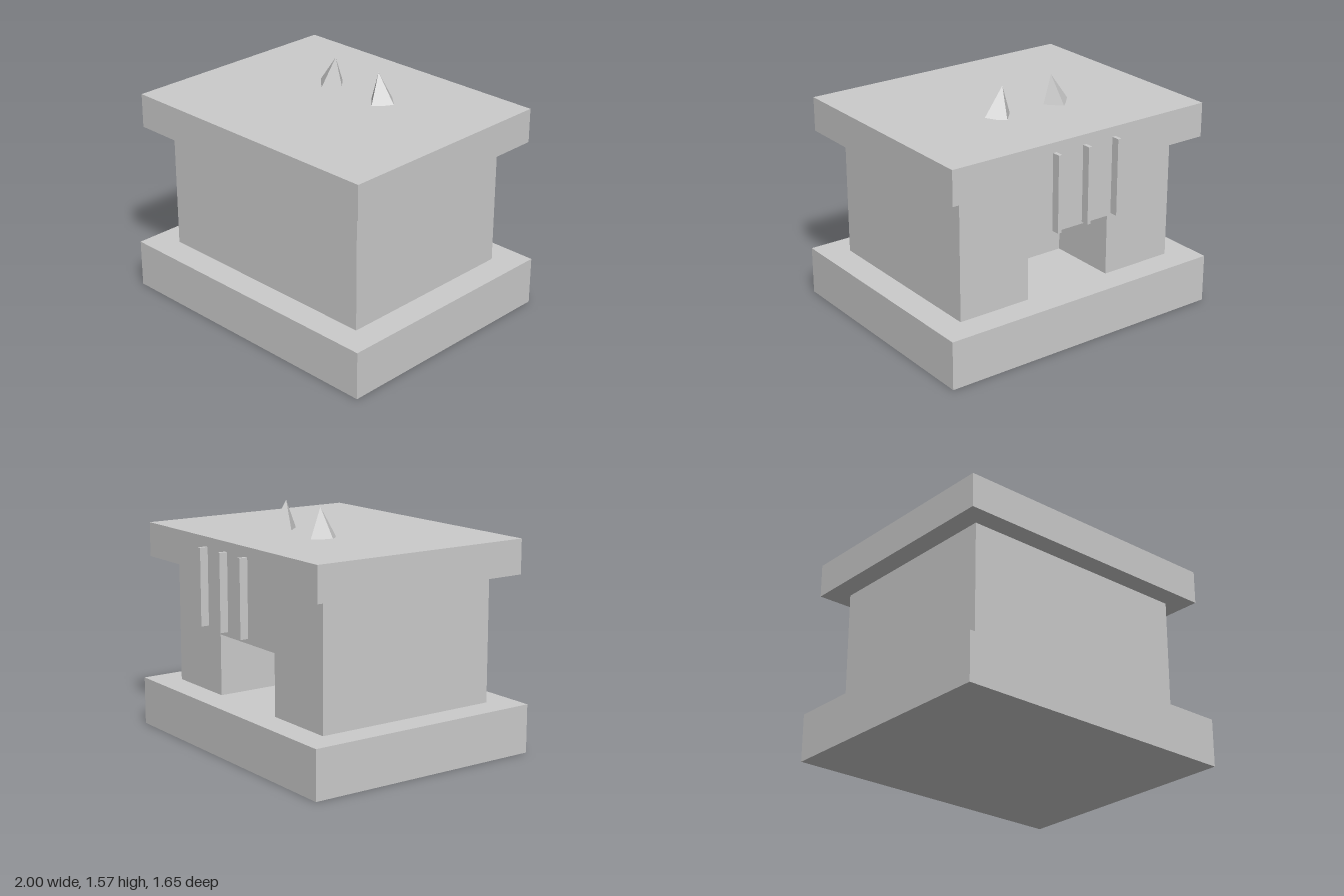
import * as THREE from 'three';

const material = new THREE.MeshStandardMaterial({ color: 0xcccccc, flatShading: true });

function addMesh(parent, name, geometry) {
  const mesh = new THREE.Mesh(geometry, material);
  mesh.name = name;
  parent.add(mesh);
  return mesh;
}

// Box given by its minimum and maximum corners
function addBox(parent, name, [x0, y0, z0], [x1, y1, z1]) {
  const mesh = addMesh(parent, name, new THREE.BoxGeometry(x1 - x0, y1 - y0, z1 - z0));
  mesh.position.set((x0 + x1) / 2, (y0 + y1) / 2, (z0 + z1) / 2);
  return mesh;
}

export function createModel() {
  const model = new THREE.Group();
  model.name = 'building';

  const baseTop = 0.318, wallTop = 1.15, roofTop = 1.376;
  const wallX = 0.816, wallBack = -0.626, wallFront = 0.646;

  // Plinth and roof slab
  addBox(model, 'base', [-1, 0, -0.807], [1, baseTop, 0.827]);
  addBox(model, 'roof', [-0.955, wallTop, -0.763], [0.955, roofTop, 0.783]);

  // Walls: solid front block, and a back block with a doorway recess
  const doorX = 0.31, doorTop = 0.72, recessDepth = 0.475;
  const recessEnd = wallBack + recessDepth;
  const walls = new THREE.Group();
  walls.name = 'walls';
  model.add(walls);
  addBox(walls, 'frontWall', [-wallX, baseTop, recessEnd], [wallX, wallTop, wallFront]);
  const outline = new THREE.Shape([
    [-wallX, baseTop], [-doorX, baseTop], [-doorX, doorTop], [doorX, doorTop],
    [doorX, baseTop], [wallX, baseTop], [wallX, wallTop], [-wallX, wallTop],
  ].map(([x, y]) => new THREE.Vector2(x, y)));
  const doorway = addMesh(walls, 'doorwayWall',
    new THREE.ExtrudeGeometry(outline, { depth: recessDepth, bevelEnabled: false }));
  doorway.position.z = wallBack;

  // Upright bars hanging behind the roof edge
  for (const x of [-0.227, 0, 0.227]) {
    addBox(model, 'bar', [x - 0.0125, 0.815, -0.825], [x + 0.0125, 1.315, -0.77]);
  }

  // Four-sided spikes leaning towards each other
  for (const side of [-1, 1]) {
    const spike = addMesh(model, 'spike', new THREE.ConeGeometry(0.1, 0.2, 4).translate(0, 0.1, 0));
    spike.position.set(side * 0.222, roofTop - 0.008, -0.197);
    spike.rotation.z = side * 0.17;
  }

  return model;
}
